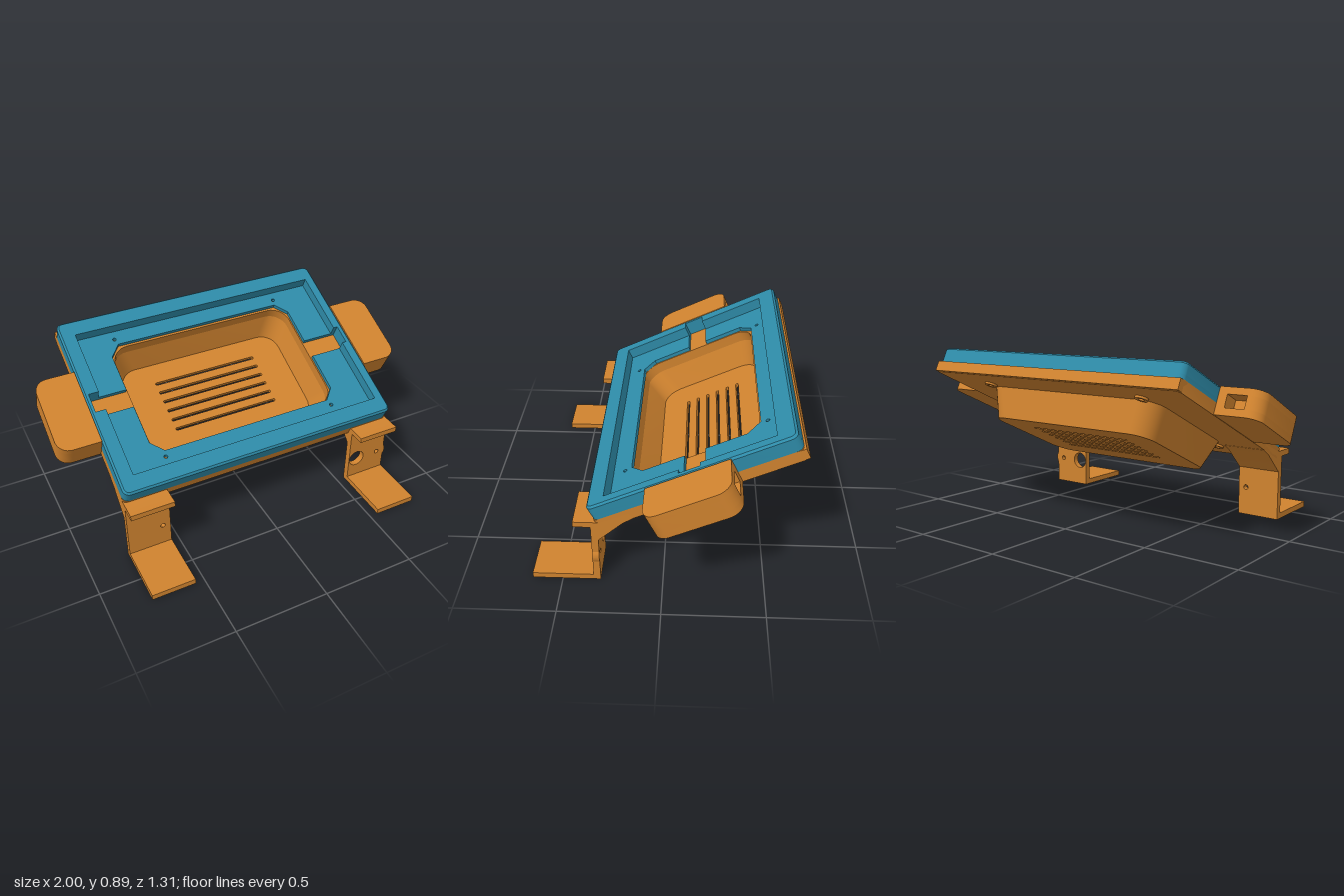
import * as THREE from 'three';
import { toCreasedNormals } from 'three/addons/utils/BufferGeometryUtils.js';

const orange = new THREE.MeshStandardMaterial({ color: 0xd0832f });
const blue = new THREE.MeshStandardMaterial({ color: 0x2e8ba8 });

// Outline of a rounded rectangle as [x, z] points
function roundRect(hx, hz, r, cx = 0, cz = 0, n = 8) {
  const pts = [];
  [[1, 1], [-1, 1], [-1, -1], [1, -1]].forEach(([sx, sz], q) => {
    for (let i = 0; i <= n; i++) {
      const a = (q + i / n) * Math.PI / 2;
      pts.push([cx + sx * (hx - r) + r * Math.cos(a), cz + sz * (hz - r) + r * Math.sin(a)]);
    }
  });
  return pts;
}
const circle = (x, z, r) => roundRect(r, r, r, x, z, 6);
const box = (x0, x1, z0, z1) => [[x0, z0], [x1, z0], [x1, z1], [x0, z1]];

function mesh(name, geo, mat) {
  const m = new THREE.Mesh(toCreasedNormals(geo, 0.6), mat);
  m.name = name;
  return m;
}

// Flat slab with an [x, z] outline and holes, between heights y0 and y1.
// Outlines run counter-clockwise and holes clockwise so all walls face out.
function slab(name, outline, holes, y0, y1, mat) {
  const wind = (pts, clockwise) => {
    const v = pts.map(([x, z]) => new THREE.Vector2(x, -z));
    return THREE.ShapeUtils.isClockWise(v) === clockwise ? v : v.reverse();
  };
  const shape = new THREE.Shape(wind(outline, false));
  holes.forEach(h => shape.holes.push(new THREE.Path(wind(h, true))));
  const geo = new THREE.ExtrudeGeometry(shape, { depth: y1 - y0, bevelEnabled: false });
  geo.rotateX(-Math.PI / 2).translate(0, y0, 0);
  return mesh(name, geo, mat);
}

// Quads between successive rings of [x, y, z] points
function loft(rings) {
  const n = rings[0].length, index = [];
  for (let k = 0; k < rings.length - 1; k++) {
    for (let i = 0; i < n; i++) {
      const j = (i + 1) % n;
      const a = k * n + i, b = k * n + j, c = a + n, d = b + n;
      index.push(a, b, c, b, d, c);
    }
  }
  const geo = new THREE.BufferGeometry();
  geo.setAttribute('position', new THREE.Float32BufferAttribute(rings.flat(2), 3));
  geo.setIndex(index);
  return geo;
}
const ring = (hx, hz, r, y) => roundRect(hx, hz, r).map(([x, z]) => [x, y, z]);

function buildCase() {
  const g = new THREE.Group();
  g.name = 'tiltedCase';
  const screws = [];
  for (const x of [-0.495, 0.495]) for (const z of [-0.385, 0.37]) screws.push([x, z]);

  // Blue screen frame: raised rim with side notches and a chamfered top edge
  const outer = roundRect(0.78, 0.528, 0.035);
  const s0 = -0.064, s1 = 0.045;
  const recess = [[-0.7, -0.435], [0.725, -0.435], [0.725, s0], [0.75, s0], [0.75, s1], [0.725, s1],
    [0.725, 0.435], [-0.7, 0.435], [-0.7, s1], [-0.755, s1], [-0.755, s0], [-0.7, s0]];
  const c = 0.01;
  g.add(slab('screenFrameRim', outer, [recess], -0.058, -c, blue));
  g.add(slab('screenFrameTop', roundRect(0.78 - c, 0.528 - c, 0.035 - c), [recess], -c, 0, blue));
  g.add(mesh('screenFrameChamfer',
    loft([ring(0.78 - c, 0.528 - c, 0.035 - c, 0), ring(0.78, 0.528, 0.035, -c)]), blue));

  // Thin frame floor with the opening and its side channels
  const opening = [[-0.485, -0.35], [0.485, -0.35], [0.545, -0.28], [0.545, s0], [0.75, s0], [0.75, s1],
    [0.545, s1], [0.545, 0.27], [0.485, 0.335], [-0.485, 0.335], [-0.545, 0.27], [-0.545, s1],
    [-0.755, s1], [-0.755, s0], [-0.545, s0], [-0.545, -0.28]];
  const screwHoles = screws.map(([x, z]) => circle(x, z, 0.01));
  g.add(slab('screenFrameFloor', outer, [opening, ...screwHoles], -0.08, -0.058, blue));

  // Base plate under the frame, with a projecting rear lip
  g.add(slab('basePlate', roundRect(0.78, 0.528, 0.025),
    [roundRect(0.538, 0.338, 0.1), ...screwHoles], -0.139, -0.08, orange));
  g.add(slab('rearLip', box(-0.78, 0.78, -0.537, -0.48), [], -0.136, -0.082, orange));
  for (const [x, z] of screws) {
    g.add(slab('screwBoss', circle(x, z, 0.033), [circle(x, z, 0.016)], -0.15, -0.139, orange));
  }

  // Tapered tub with vent slots in its floor
  g.add(mesh('tubWall', loft([ring(0.55, 0.349, 0.1, -0.138), ring(0.508, 0.307, 0.1, -0.297),
    ring(0.488, 0.287, 0.1, -0.297), ring(0.538, 0.338, 0.1, -0.138)]), orange));
  const vents = [];
  for (let i = 0; i < 6; i++) {
    vents.push(roundRect(0.312, 0.008, 0.007, -0.002, -0.167 + i * 0.0612, 3));
  }
  g.add(slab('tubFloor', roundRect(0.495, 0.294, 0.1), vents, -0.297, -0.275, orange));

  // Side pods with a rear-facing port
  for (const s of [1, -1]) {
    const r = 0.07, hz = 0.214;
    const front = [[0.78, hz]], rear = [];
    for (let i = 0; i <= 8; i++) {
      const a = i / 8 * Math.PI / 2;
      front.push([1 - r + r * Math.sin(a), hz - r + r * Math.cos(a)]);
      rear.push([1 - r + r * Math.cos(a), -hz + r - r * Math.sin(a)]);
    }
    const side = pts => pts.map(([x, z]) => [s * x, z]);
    const full = side([...front, ...rear, [0.78, -hz]]);
    const notched = side([...front, ...rear, [0.925, -hz], [0.925, -0.13], [0.825, -0.13], [0.825, -hz], [0.78, -hz]]);
    const pod = new THREE.Group();
    pod.name = s > 0 ? 'leftPod' : 'rightPod';
    pod.add(slab('podTop', full, [], -0.035, 0, orange));
    pod.add(slab('podMiddle', notched, [], -0.1, -0.035, orange));
    pod.add(slab('podBottom', full, [], -0.137, -0.1, orange));
    g.add(pod);
  }

  g.rotation.x = THREE.MathUtils.degToRad(25.1);
  g.position.set(0, 0.675, -0.112);
  return g;
}

// Leg: foot, drilled upright, front shelf and brace up to the plate
function buildLeg(s) {
  const leg = new THREE.Group();
  leg.name = s > 0 ? 'leftLeg' : 'rightLeg';
  const width = 0.232, x0 = s > 0 ? 0.78 - width : -0.78;

  // Side profile given as [z, y], extruded across the leg width
  const across = (name, pts) => {
    const shape = new THREE.Shape(pts.map(([z, y]) => new THREE.Vector2(-z, y)));
    const geo = new THREE.ExtrudeGeometry(shape, { depth: width, bevelEnabled: false });
    geo.rotateY(Math.PI / 2).translate(x0, 0, 0);
    leg.add(mesh(name, geo, orange));
  };
  across('foot', [[0.31, 0], [0.65, 0], [0.65, 0.03], [0.31, 0.03]]);
  across('shelfAndBrace', [[0.31, 0.26], [0.345, 0.26], [0.345, 0.34], [0.43, 0.34], [0.43, 0.37],
    [0.3, 0.37], [0.16, 0.43], [0.14, 0.402], [0.19, 0.37]]);

  const upright = new THREE.Shape();
  upright.moveTo(x0, 0.03).lineTo(x0 + width, 0.03);
  if (s > 0) upright.absarc(0.735, 0.15, 0.055, -0.613, 0.613, false);
  upright.lineTo(x0 + width, 0.26).lineTo(x0, 0.26).closePath();
  const drills = s > 0 ? [[0.598, 0.047], [0.735, 0.013]] : [[-0.59, 0.013]];
  for (const [x, r] of drills) {
    upright.holes.push(new THREE.Path().absarc(x, 0.15, r, 0, Math.PI * 2, true));
  }
  const geo = new THREE.ExtrudeGeometry(upright, { depth: 0.035, bevelEnabled: false, curveSegments: 24 });
  leg.add(mesh('upright', geo.translate(0, 0, 0.31), orange));
  return leg;
}

export function createModel() {
  const model = new THREE.Group();
  model.name = 'displayStand';
  model.add(buildCase(), buildLeg(1), buildLeg(-1));
  return model;
}
